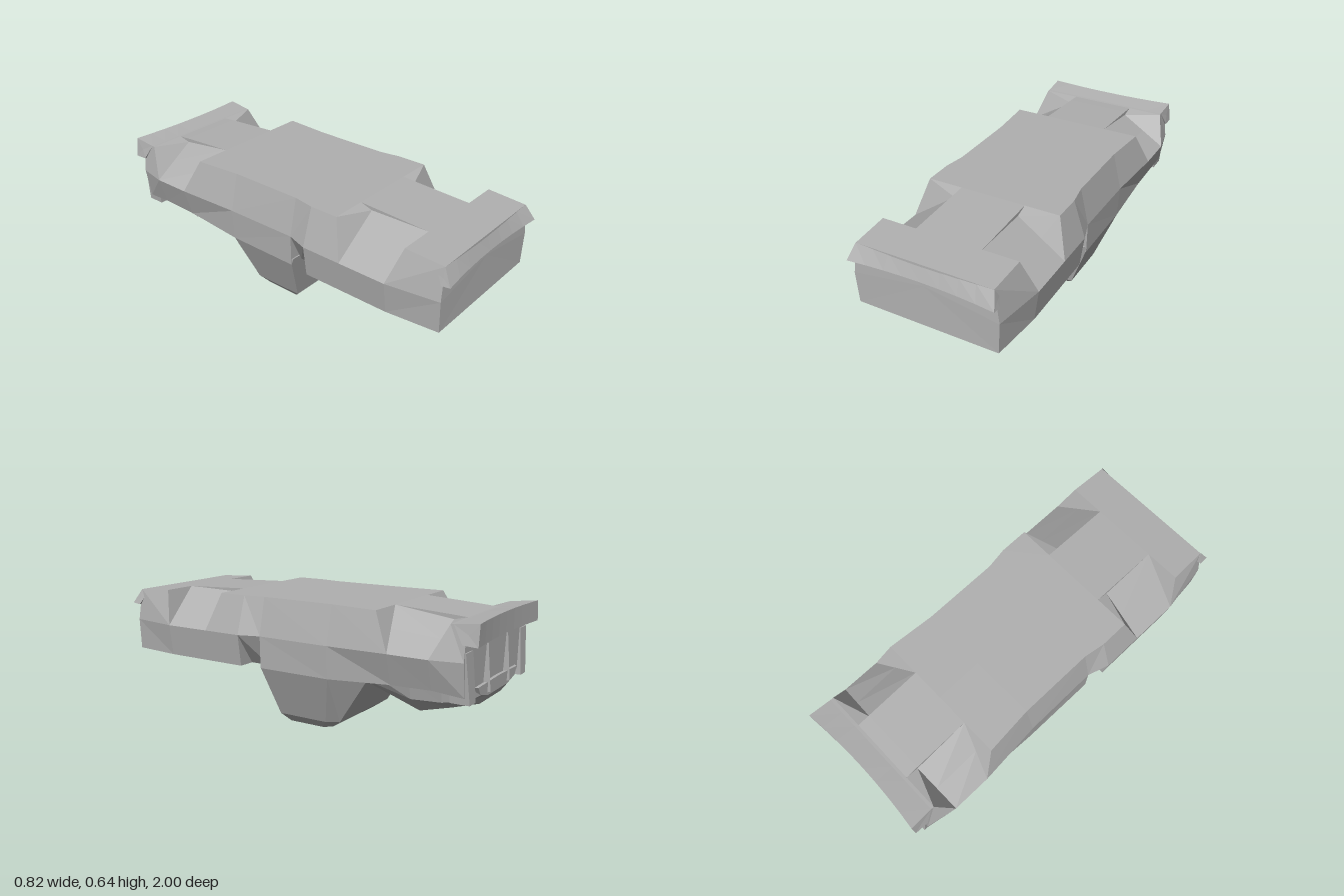
import * as THREE from 'three';

const grey = new THREE.MeshStandardMaterial({ color: 0xb0b0b0 });
grey.name = 'plainGrey';

// Faceted closed skin over rings of points, with fanned end caps facing outward
function loft(name, rings) {
  const tris = [];
  const n = rings[0].length;
  const add = (a, b, c) => tris.push([a, b, c]);
  for (let i = 0; i < rings.length - 1; i++) {
    for (let j = 0; j < n; j++) {
      const k = (j + 1) % n;
      const a = rings[i][j], b = rings[i][k], c = rings[i + 1][k], d = rings[i + 1][j];
      // mirror the diagonal so both halves match
      if (j < n / 2) { add(a, b, c); add(a, c, d); } else { add(a, b, d); add(b, c, d); }
    }
  }
  const cap = (ring, flip) => {
    const mid = [0, 1, 2].map(q => ring.reduce((s, p) => s + p[q], 0) / n);
    ring.forEach((p, j) => {
      const e = ring[(j + 1) % n];
      if (flip) add(mid, e, p); else add(mid, p, e);
    });
  };
  cap(rings[0], true);
  cap(rings[rings.length - 1], false);
  const v = p => new THREE.Vector3(...p);
  const volume = tris.reduce((s, [a, b, c]) => s + v(a).dot(v(b).cross(v(c))), 0);
  const ordered = volume < 0 ? tris.map(([a, b, c]) => [a, c, b]) : tris;
  const geometry = new THREE.BufferGeometry();
  geometry.setAttribute('position', new THREE.Float32BufferAttribute(ordered.flat(2), 3));
  geometry.computeVertexNormals();
  const mesh = new THREE.Mesh(geometry, grey);
  mesh.name = name;
  return mesh;
}

// Completes a half section that begins and ends on the centre line
const mirrored = half => [...half, ...half.slice(1, -1).reverse().map(([x, y, z]) => [-x, y, z])];

// Hull section: top edge, widest point and lower edge; floor adds a wheel pocket
function section(zTop, top, xEdge, zSide, xWide, yWide, xLow, yLow, floor) {
  const wide = [xWide, yWide, zSide];
  const inner = [0.17, floor ?? top, zTop];
  const edge = floor === undefined ? [xEdge, top, zTop] : inner.map((q, i) => (q + wide[i]) / 2);
  return mirrored([[0, top, zTop], [0.17, top, zTop], inner, edge, wide,
    [xLow, yLow, zSide], [0, yLow, zSide]]);
}

// Curved end lip, swept across x from a [y, z, half width, bow] profile
function lip(name, profile) {
  const rings = [];
  for (let i = 0; i <= 8; i++) {
    const t = i / 4 - 1;
    rings.push(profile.map(([y, z, w, bow]) => [t * w, y, z - bow * (1 - t * t)]));
  }
  return loft(name, rings);
}

export function createModel() {
  const model = new THREE.Group();
  model.name = 'vehicleBody';

  // Main hull with four wedge-shaped pockets and a narrow waist
  model.add(loft('hull', [
    section(0.955, 0.612, 0.345, 0.962, 0.37, 0.45, 0.362, 0.29),
    section(0.757, 0.624, 0.35, 0.70, 0.41, 0.45, 0.388, 0.29),
    section(0.757, 0.624, 0.35, 0.70, 0.41, 0.45, 0.388, 0.29, 0.624),
    section(0.45, 0.637, 0.35, 0.45, 0.41, 0.45, 0.388, 0.29, 0.62),
    section(0.387, 0.64, 0.35, 0.45, 0.41, 0.45, 0.388, 0.29),
    section(0.24, 0.64, 0.35, 0.24, 0.41, 0.45, 0.388, 0.29),
    section(0.24, 0.64, 0.35, 0.24, 0.41, 0.45, 0.30, 0.29),
    section(0.13, 0.64, 0.332, 0.13, 0.375, 0.45, 0.30, 0.29),
    section(0.13, 0.64, 0.332, 0.13, 0.375, 0.45, 0.372, 0.29),
    section(-0.26, 0.64, 0.332, -0.26, 0.378, 0.45, 0.37, 0.29),
    section(-0.505, 0.638, 0.352, -0.59, 0.405, 0.46, 0.36, 0.31),
    section(-0.505, 0.638, 0.352, -0.59, 0.405, 0.46, 0.36, 0.31, 0.638),
    section(-0.80, 0.62, 0.355, -0.79, 0.405, 0.46, 0.36, 0.315, 0.60),
    section(-0.865, 0.615, 0.355, -0.79, 0.405, 0.46, 0.36, 0.315),
    section(-0.94, 0.62, 0.355, -0.94, 0.375, 0.46, 0.35, 0.30),
  ]));

  // Overhanging lips at each end
  model.add(lip('frontLip', [[0.612, 0.955, 0.346, 0.004], [0.538, 1, 0.37, 0.022],
    [0.532, 0.955, 0.37, 0], [0.57, 0.93, 0.355, 0]]));
  model.add(lip('rearLip', [[0.616, -0.88, 0.355, 0], [0.63, -1, 0.36, -0.02],
    [0.53, -1, 0.372, -0.02], [0.535, -0.93, 0.375, 0]]));

  // Deep keel below the middle: [y, half width, front z, side rear z, tail half width, tail z]
  const keel = [
    [0.32, 0.366, 0.136, -0.27, 0.24, -0.43],
    [0.29, 0.37, 0.13, -0.26, 0.24, -0.41],
    [0.042, 0.275, 0.08, -0.19, 0.24, -0.25],
    [0, 0.24, 0.04, -0.15, 0.21, -0.19],
  ];
  model.add(loft('keel', keel.map(([y, w, f, s, tw, t]) =>
    [[w, y, f], [w, y, s], [tw, y, t], [-tw, y, t], [-w, y, s], [-w, y, f]])));

  // Rounded bulge under the rear: [z, shoulder x, middle x, middle y, base x, base y]
  const bulge = [
    [-0.34, 0.22, 0.20, 0.27, 0.15, 0.245],
    [-0.43, 0.27, 0.24, 0.27, 0.17, 0.225],
    [-0.65, 0.30, 0.28, 0.235, 0.18, 0.155],
    [-0.80, 0.29, 0.27, 0.24, 0.16, 0.19],
    [-0.92, 0.26, 0.23, 0.26, 0.13, 0.22],
    [-0.955, 0.24, 0.21, 0.285, 0.12, 0.265],
  ];
  model.add(loft('rearBulge', bulge.map(([z, sx, mx, my, bx, by]) =>
    mirrored([[0, 0.33, z], [sx, 0.325, z], [mx, my, z], [bx, by, z], [0, by, z]]))));

  // Rear corner posts and tapering ribs below the rear lip
  for (const side of [-1, 1]) {
    model.add(loft('rearCorner', [[0.50, 0.368, 0.29, -0.945], [0.27, 0.345, 0.28, -0.962]].map(([y, a, b, z]) =>
      [[side * a, y, z], [side * b, y, z], [side * b, y, -0.87], [side * a, y, -0.87]])));
    model.add(loft('rearRib', [[0.53, 0.012, -0.943], [0.28, 0.06, -0.965]].map(([y, w, z]) =>
      [[side * 0.12 - w, y, -0.92], [side * 0.12, y, z], [side * 0.12 + w, y, -0.92]])));
  }
  return model;
}
